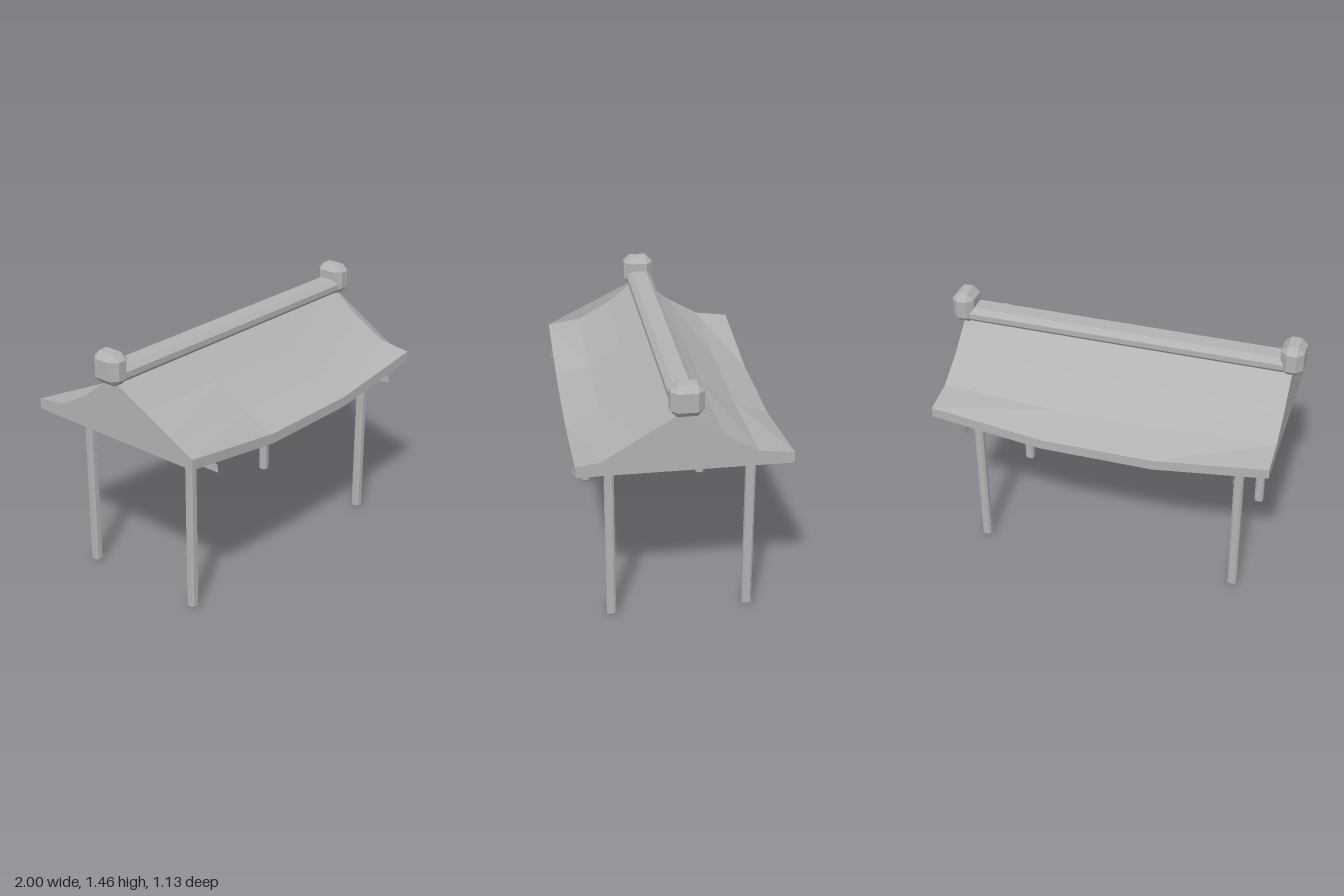
import * as THREE from 'three';
import { ConvexGeometry } from 'three/addons/geometries/ConvexGeometry.js';

const END_X = 0.943, POST_X = 0.755, SLAB = 0.058;
// Roof slope from eave to ridge: [z, height at gable, sag at mid-span]
const SLOPE = [[0.565, 1.03, 0.085], [0.375, 1.055, 0.036], [0.19, 1.16, 0.01], [0, 1.31, 0]];
const SECTION = [...SLOPE, ...SLOPE.slice(0, 3).reverse().map(([z, y, s]) => [-z, y, s])];

export function createModel() {
  const grey = new THREE.MeshStandardMaterial({ color: 0xb2b2b2, flatShading: true, side: THREE.DoubleSide });
  grey.name = 'plain grey';
  const model = new THREE.Group();
  model.name = 'openPavilion';

  const add = (name, geometry, x = 0, y = 0, z = 0) => {
    const mesh = new THREE.Mesh(geometry, grey);
    mesh.name = name;
    mesh.position.set(x, y, z);
    model.add(mesh);
  };

  // Box with every edge chamfered by c
  const chamferBox = (w, h, d, c) => {
    const half = [w / 2, h / 2, d / 2], points = [];
    for (const sx of [-1, 1]) for (const sy of [-1, 1]) for (const sz of [-1, 1])
      for (let full = 0; full < 3; full++) {
        const p = half.map((v, i) => (i === full ? v : v - c));
        points.push(new THREE.Vector3(p[0] * sx, p[1] * sy, p[2] * sz));
      }
    return new ConvexGeometry(points);
  };

  // Flat plate across the building, outlined by [z, y] points
  const plate = (outline) =>
    new THREE.ShapeGeometry(new THREE.Shape(outline.map(([z, y]) => new THREE.Vector2(-z, y)))).rotateY(Math.PI / 2);

  // Curved roof slab: four sections, sagging between the gables
  const columns = [-END_X, -0.315, 0.315, END_X].map((x, k) => {
    const sag = k === 1 || k === 2 ? 1 : 0;
    const top = SECTION.map(([z, y, s]) => [x, y - s * sag, z]);
    return [...top, ...top.map(([px, y, z]) => [px, y - SLAB, z]).reverse()];
  });
  const verts = [];
  const quad = (a, b, c, d) => verts.push(...a, ...c, ...d, ...a, ...d, ...b);
  const n = columns[0].length;
  for (let k = 0; k < 3; k++)
    for (let i = 0; i < n; i++) {
      const j = (i + 1) % n;
      quad(columns[k][i], columns[k][j], columns[k + 1][i], columns[k + 1][j]);
    }
  for (let i = 0; i < n / 2 - 1; i++) {
    const [l, r] = [columns[0], columns[3]];
    quad(l[n - 1 - i], l[n - 2 - i], l[i], l[i + 1]);
    quad(r[i], r[i + 1], r[n - 1 - i], r[n - 2 - i]);
  }
  const roof = new THREE.BufferGeometry();
  roof.setAttribute('position', new THREE.Float32BufferAttribute(verts, 3));
  roof.computeVertexNormals();
  add('roof', roof);

  // Gable walls: straight front edge, curved rear edge
  const rear = [[0, 1.31], [-0.19, 1.16], [-0.375, 1.055], [-0.565, 1.03], [-0.565, 0.97]];
  add('leftGable', plate([[0.565, 0.97], ...rear]), END_X);
  add('rightGable', plate([[0.565, 0.97], [0.565, 1.03], ...rear]), -END_X);

  // Inner truss plates, posts and ridge ends, mirrored
  const truss = [[0.565, 0.886], [0.565, 0.93], [0.375, 0.986], [0.19, 1.095], [0, 1.25],
    [-0.19, 1.095], [-0.375, 0.986], [-0.565, 0.93], [-0.565, 0.886]];
  for (const side of [-1, 1]) {
    add('truss', plate(truss), side * POST_X);
    add('ridgeEnd', chamferBox(0.125, 0.175, 0.175, 0.036), side * 0.9375, 1.3725);
    for (const z of [-0.377, 0.377]) add('post', chamferBox(0.052, 0.945, 0.052, 0.011), side * POST_X, 0.4725, z);
  }

  // Ridge beam
  add('ridgeBeam', chamferBox(1.85, 0.088, 0.146, 0.028), 0, 1.332);
  return model;
}
